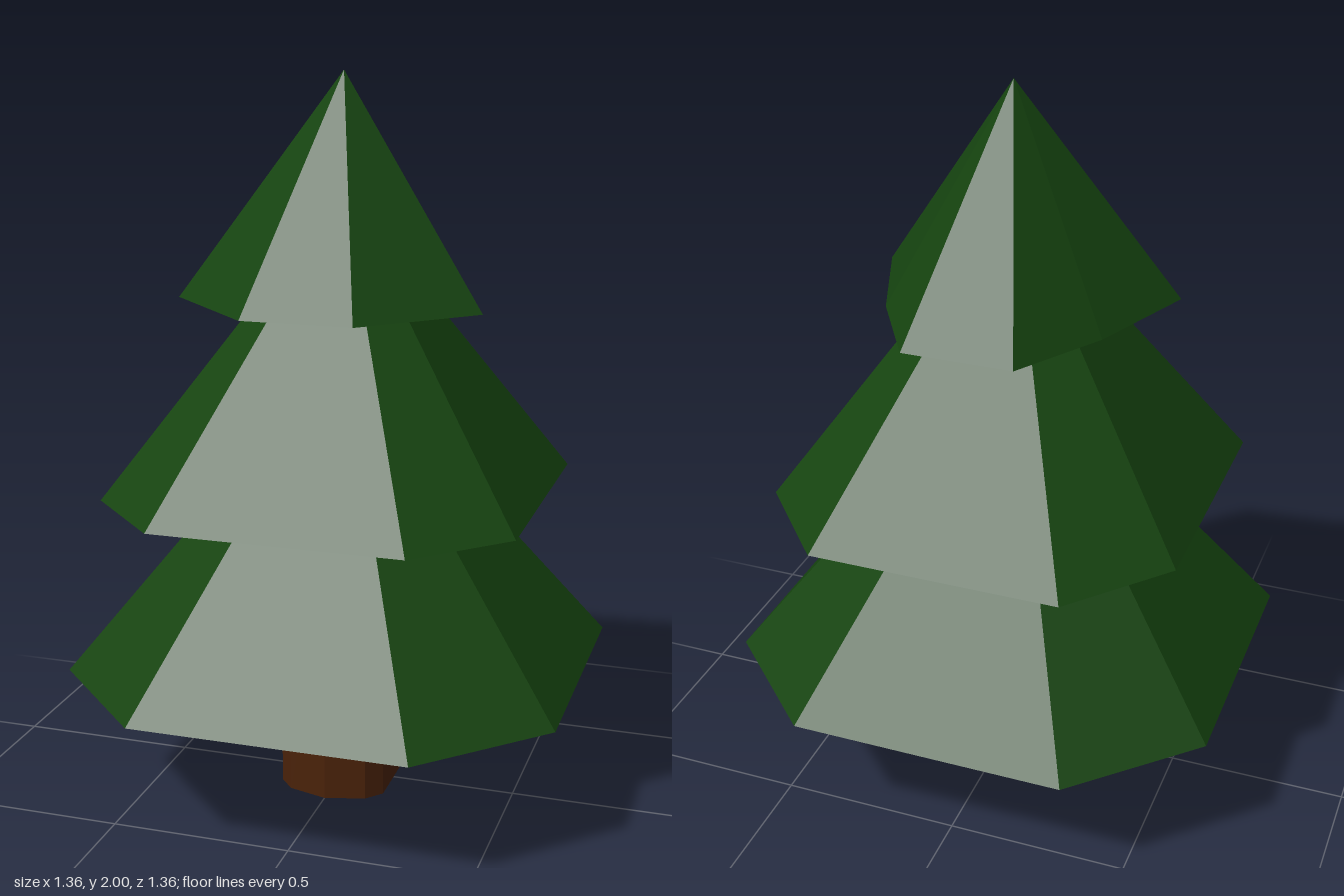
import * as THREE from 'three';

const leaf = new THREE.MeshStandardMaterial({ color: 0x15430f, flatShading: true });
const bark = new THREE.MeshStandardMaterial({ color: 0x4a2209, flatShading: true });

// Mirror half an outline of [x, z] corners (front to back) across x = 0
function mirrored(half) {
  const other = half.filter(([x]) => x > 0).reverse().map(([x, z]) => [-x, z]);
  return [...half, ...other];
}

// Closed solid from a base outline at y0, scaled by topScale at y1 (0 gives a point);
// the middle of the underside is raised by hollow
function taper(name, half, y0, y1, topScale, hollow, material) {
  const outline = mirrored(half);
  const pos = [];
  const tri = (...corners) => corners.forEach((c) => pos.push(...c));
  const base = outline.map(([x, z]) => [x, y0, z]);
  const top = outline.map(([x, z]) => [x * topScale, y1, z * topScale]);
  base.forEach((a, i) => {
    const j = (i + 1) % base.length;
    tri(a, base[j], top[j]);
    tri([0, y0 + hollow, 0], base[j], a);
    if (topScale > 0) {
      tri(a, top[j], top[i]);
      tri([0, y1, 0], top[i], top[j]);
    }
  });
  const geometry = new THREE.BufferGeometry();
  geometry.setAttribute('position', new THREE.Float32BufferAttribute(pos, 3));
  geometry.computeVertexNormals();
  const mesh = new THREE.Mesh(geometry, material);
  mesh.name = name;
  return mesh;
}

export function createModel() {
  const tree = new THREE.Group();
  tree.name = 'pineTree';

  // Ten-sided trunk, a little deeper than wide
  const trunk = [[0, 0.185], [0.11, 0.155], [0.15, 0.11], [0.15, -0.11], [0.11, -0.15], [0, -0.185]];
  tree.add(taper('trunk', trunk, 0, 0.58, 1, 0, bark));

  // Three stacked tiers of foliage, the larger ones hollowed underneath
  const lower = [[0.375, 0.68], [0.68, 0.375], [0.68, -0.38], [0.375, -0.68]];
  const middle = [[0.34, 0.6], [0.565, 0.375], [0.565, -0.345], [0.34, -0.605]];
  const upper = [[0.15, 0.41], [0.418, 0.15], [0.298, -0.163], [0.15, -0.41]];
  tree.add(
    taper('lowerFoliage', lower, 0.38, 1.26, 0, 0.19, leaf),
    taper('middleFoliage', middle, 0.882, 1.69, 0, 0.12, leaf),
    taper('upperFoliage', upper, 1.402, 2, 0, 0.02, leaf),
  );
  return tree;
}
